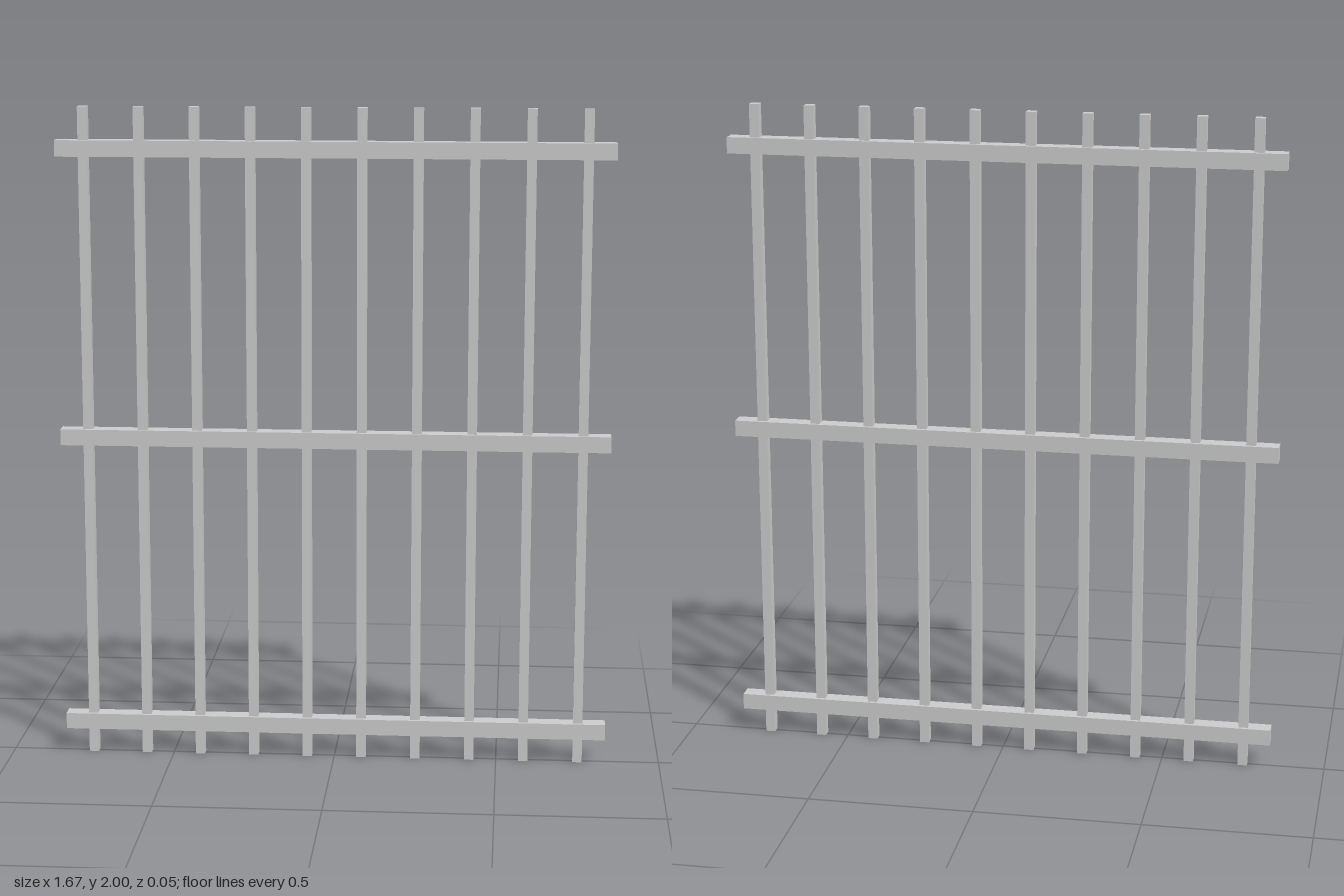
import * as THREE from 'three';

export function createModel() {
  const model = new THREE.Group();
  model.name = 'barredGate';
  const steel = new THREE.MeshStandardMaterial({ color: 0xcccccc });
  steel.name = 'lightGreySteel';

  function addBox(name, size, position) {
    const mesh = new THREE.Mesh(new THREE.BoxGeometry(...size), steel);
    mesh.name = name;
    mesh.position.set(...position);
    model.add(mesh);
  }

  // Ten upright square bars, evenly spaced
  const barCount = 10;
  const spacing = 1.5 / (barCount - 1);
  for (let i = 0; i < barCount; i++) {
    addBox(`verticalBar${i + 1}`, [0.029, 2, 0.029], [-0.75 + i * spacing, 1, 0]);
  }

  // Three horizontal rails that the bars pass through
  const rails = { bottomRail: 0.1, middleRail: 1, topRail: 1.876 };
  for (const [name, y] of Object.entries(rails)) {
    addBox(name, [1.667, 0.049, 0.049], [0, y, 0]);
  }

  return model;
}
